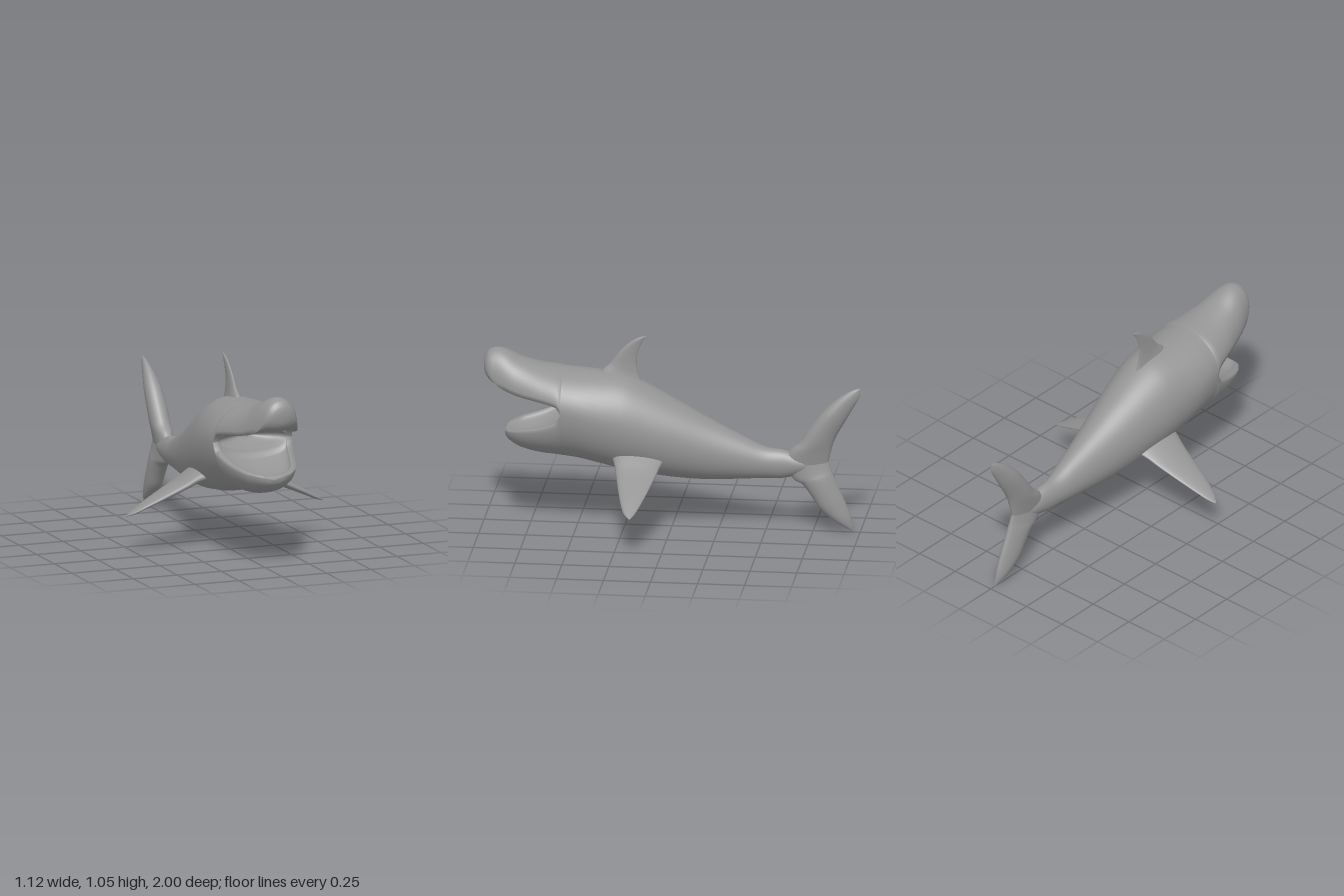
import * as THREE from 'three';
import { mergeGeometries, mergeVertices } from 'three/addons/utils/BufferGeometryUtils.js';

const HALF = 24; // segments in half a cross-section

// Smoothly interpolates table rows; key gives each row's parameter.
function smooth(rows, steps, key) {
  const out = [];
  const slope = (i, c) => {
    const a = Math.max(i - 1, 0), b = Math.min(i + 1, rows.length - 1);
    return (rows[b][c] - rows[a][c]) / (key(rows[b], b) - key(rows[a], a));
  };
  for (let i = 0; i < rows.length - 1; i++) {
    const h = key(rows[i + 1], i + 1) - key(rows[i], i);
    for (let s = 0; s < steps; s++) {
      const t = s / steps, t2 = t * t, t3 = t2 * t;
      out.push(rows[i].map((v, c) => (2 * t3 - 3 * t2 + 1) * v + (t3 - 2 * t2 + t) * h * slope(i, c)
        + (3 * t2 - 2 * t3) * rows[i + 1][c] + (t3 - t2) * h * slope(i + 1, c)));
    }
  }
  out.push(rows[rows.length - 1]);
  return out;
}

const byZ = (row) => row[0];
const byIndex = (row, i) => i;

// Skins a list of closed rings (counter-clockwise about the direction of travel).
function loft(rings) {
  const n = rings[0].length, index = [];
  for (let i = 0; i < rings.length - 1; i++) {
    for (let j = 0; j < n; j++) {
      const k = (j + 1) % n, a = i * n + j, b = i * n + k;
      index.push(a, b, b + n, a, b + n, a + n);
    }
  }
  const g = new THREE.BufferGeometry().setFromPoints(rings.flat());
  g.setIndex(index);
  return g;
}

// Half ellipse from angle a0 to a1, both ends included.
function arc(w, y, h, z, a0, a1) {
  return Array.from({ length: HALF + 1 }, (_, i) => {
    const a = a0 + (a1 - a0) * i / HALF;
    return new THREE.Vector3(w * Math.cos(a), y + h * Math.sin(a), z);
  });
}

// Trunk ring: z, half width, widest height, top, bottom
function trunkRing([z, w, mid, top, bottom]) {
  return [
    ...arc(w, mid, top - mid, z, 0, Math.PI).slice(0, -1),
    ...arc(w, mid, mid - bottom, z, Math.PI, 2 * Math.PI).slice(0, -1),
  ];
}

// Jaw rings: z, half width, lip height, outer height, hollow depth, lip thickness
function upperJawRing([z, w, lip, top, depth, t]) {
  return [...arc(w, lip, top - lip, z, 0, Math.PI), ...arc(Math.max(w - t, 0), lip, depth, z, Math.PI, 0)];
}
function lowerJawRing([z, w, lip, bottom, depth, t]) {
  return [...arc(w, lip, lip - bottom, z, Math.PI, 2 * Math.PI),
    ...arc(Math.max(w - t, 0), lip, depth, z, 2 * Math.PI, Math.PI)];
}

function bodyGeometry() {
  const trunk = [
    [-0.74, 0, 0.365, 0.365, 0.365], [-0.72, 0.035, 0.365, 0.40, 0.33],
    [-0.6, 0.05, 0.365, 0.44, 0.29], [-0.5, 0.062, 0.37, 0.455, 0.285],
    [-0.4, 0.082, 0.385, 0.50, 0.28], [-0.2, 0.125, 0.43, 0.60, 0.27],
    [0, 0.17, 0.49, 0.71, 0.28], [0.15, 0.198, 0.54, 0.79, 0.30],
    [0.25, 0.213, 0.575, 0.83, 0.315], [0.4, 0.228, 0.62, 0.848, 0.35],
    [0.5, 0.23, 0.65, 0.855, 0.372], [0.57, 0.225, 0.66, 0.86, 0.38],
  ];
  const upper = [
    [0.57, 0.225, 0.66, 0.86, 0.05, 0.03], [0.58, 0.222, 0.68, 0.862, 0.05, 0.03],
    [0.6, 0.217, 0.70, 0.865, 0.05, 0.03], [0.7, 0.19, 0.72, 0.88, 0.05, 0.03],
    [0.8, 0.158, 0.735, 0.91, 0.045, 0.028], [0.88, 0.132, 0.76, 0.948, 0.02, 0.02],
    [0.93, 0.112, 0.785, 0.957, -0.01, 0.004], [0.97, 0.088, 0.835, 0.945, -0.045, 0],
    [0.99, 0.058, 0.86, 0.92, -0.045, 0], [0.998, 0.028, 0.868, 0.895, -0.025, 0],
    [1, 0, 0.87, 0.87, 0, 0],
  ];
  const lower = [
    [0.57, 0.225, 0.66, 0.38, -0.05, 0.03], [0.58, 0.222, 0.635, 0.382, -0.05, 0.03],
    [0.6, 0.216, 0.61, 0.385, -0.052, 0.03], [0.7, 0.19, 0.57, 0.395, -0.055, 0.03],
    [0.8, 0.155, 0.545, 0.42, -0.045, 0.03], [0.85, 0.118, 0.532, 0.447, -0.02, 0.03],
    [0.88, 0.07, 0.52, 0.475, 0, 0.025], [0.89, 0, 0.50, 0.50, 0, 0],
  ];
  // Lower arcs take a positive depth because the sine is already negative there.
  lower.forEach((r) => { r[4] = -r[4]; });

  // Throat: the inner edges of both jaws, tapering back to a point
  const throat = [1, 0.85, 0.6, 0.3, 0].map((s, i) => {
    const z = 0.57 - 0.03 * i, w = 0.195 * s;
    return [
      ...arc(w, 0.66, 0.05 * s, z, 0, Math.PI).slice(0, -1),
      ...arc(w, 0.66, 0.05 * s, z, Math.PI, 2 * Math.PI).slice(0, -1),
    ];
  });

  const g = mergeVertices(mergeGeometries([
    loft(smooth(trunk, 5, byZ).map(trunkRing)),
    loft(smooth(upper, 4, byZ).map(upperJawRing)),
    loft(smooth(lower, 4, byZ).map(lowerJawRing)),
    loft(throat),
  ]), 1e-4);
  g.computeVertexNormals();
  return g;
}

// Fin rows: leading edge x, y, z, trailing edge x, y, z, half thickness
function finGeometry(rows) {
  const sections = smooth(rows, 5, byIndex).map((r) => {
    const lead = new THREE.Vector3(r[0], r[1], r[2]);
    const trail = new THREE.Vector3(r[3], r[4], r[5]);
    return {
      centre: lead.clone().add(trail).multiplyScalar(0.5),
      chord: lead.sub(trail).multiplyScalar(0.5),
      thick: r[6],
    };
  });
  const rings = sections.map(({ centre, chord, thick }, i) => {
    const next = sections[Math.min(i + 1, sections.length - 1)].centre;
    const prev = sections[Math.max(i - 1, 0)].centre;
    const normal = next.clone().sub(prev).cross(chord).normalize();
    return Array.from({ length: HALF }, (_, j) => {
      const a = j / HALF * 2 * Math.PI, c = Math.cos(a);
      // rounded leading edge, thinner trailing edge
      return centre.clone().addScaledVector(chord, c)
        .addScaledVector(normal, thick * Math.sin(a) * (0.88 + 0.24 * c));
    });
  });
  const tip = sections[sections.length - 1].centre;
  rings.push(rings[0].map(() => tip.clone()));
  const g = loft(rings);
  g.computeVertexNormals();
  return g;
}

// Fin lying in the centre plane: leading z, y, trailing z, y, half thickness
const uprightFin = (rows) => finGeometry(rows.map(([lz, ly, tz, ty, t]) => [0, ly, lz, 0, ty, tz, t]));

export function createModel() {
  const model = new THREE.Group();
  model.name = 'shark';
  const skin = new THREE.MeshStandardMaterial({ color: 0x949494, side: THREE.DoubleSide });
  skin.name = 'grey skin';
  const add = (name, geometry) => {
    const mesh = new THREE.Mesh(geometry, skin);
    mesh.name = name;
    model.add(mesh);
  };

  add('body', bodyGeometry());

  add('dorsalFin', uprightFin([
    [0.42, 0.78, 0.12, 0.72, 0.05], [0.375, 0.85, 0.165, 0.80, 0.028],
    [0.33, 0.89, 0.185, 0.86, 0.018], [0.285, 0.95, 0.19, 0.92, 0.013],
    [0.23, 1.005, 0.175, 0.975, 0.01], [0.18, 1.035, 0.155, 1.02, 0.007],
    [0.14, 1.046, 0.138, 1.042, 0.001],
  ]));

  add('upperTailLobe', uprightFin([
    [-0.56, 0.33, -0.82, 0.33, 0.035], [-0.62, 0.435, -0.84, 0.42, 0.05],
    [-0.68, 0.49, -0.855, 0.48, 0.056], [-0.73, 0.565, -0.875, 0.53, 0.056],
    [-0.80, 0.66, -0.92, 0.61, 0.05], [-0.88, 0.735, -0.965, 0.69, 0.032],
    [-0.95, 0.78, -0.995, 0.745, 0.015], [-1, 0.795, -1, 0.788, 0.001],
  ]));

  add('lowerTailLobe', uprightFin([
    [-0.56, 0.42, -0.82, 0.42, 0.035], [-0.64, 0.29, -0.845, 0.35, 0.045],
    [-0.69, 0.26, -0.86, 0.31, 0.05], [-0.74, 0.195, -0.885, 0.25, 0.05],
    [-0.79, 0.12, -0.92, 0.17, 0.047], [-0.87, 0.055, -0.95, 0.09, 0.035],
    [-0.93, 0.02, -0.963, 0.035, 0.016], [-0.965, 0, -0.965, 0.004, 0.001],
  ]));

  // Pectoral fins, mirrored; the chord order keeps the surface facing outwards
  const pectoral = [
    [0.10, 0.43, 0.32, 0.10, 0.42, 0.01, 0.06], [0.19, 0.395, 0.288, 0.18, 0.385, 0.04, 0.036],
    [0.25, 0.36, 0.272, 0.25, 0.35, 0.058, 0.028], [0.35, 0.31, 0.25, 0.35, 0.305, 0.083, 0.022],
    [0.45, 0.26, 0.225, 0.45, 0.258, 0.112, 0.016], [0.52, 0.223, 0.2, 0.52, 0.222, 0.138, 0.01],
    [0.56, 0.204, 0.168, 0.56, 0.204, 0.16, 0.002],
  ];
  for (const [name, side] of [['leftPectoralFin', 1], ['rightPectoralFin', -1]]) {
    add(name, finGeometry(pectoral.map(([lx, ly, lz, tx, ty, tz, t]) => [side * lx, ly, lz, side * tx, ty, tz, t])));
  }
  return model;
}
